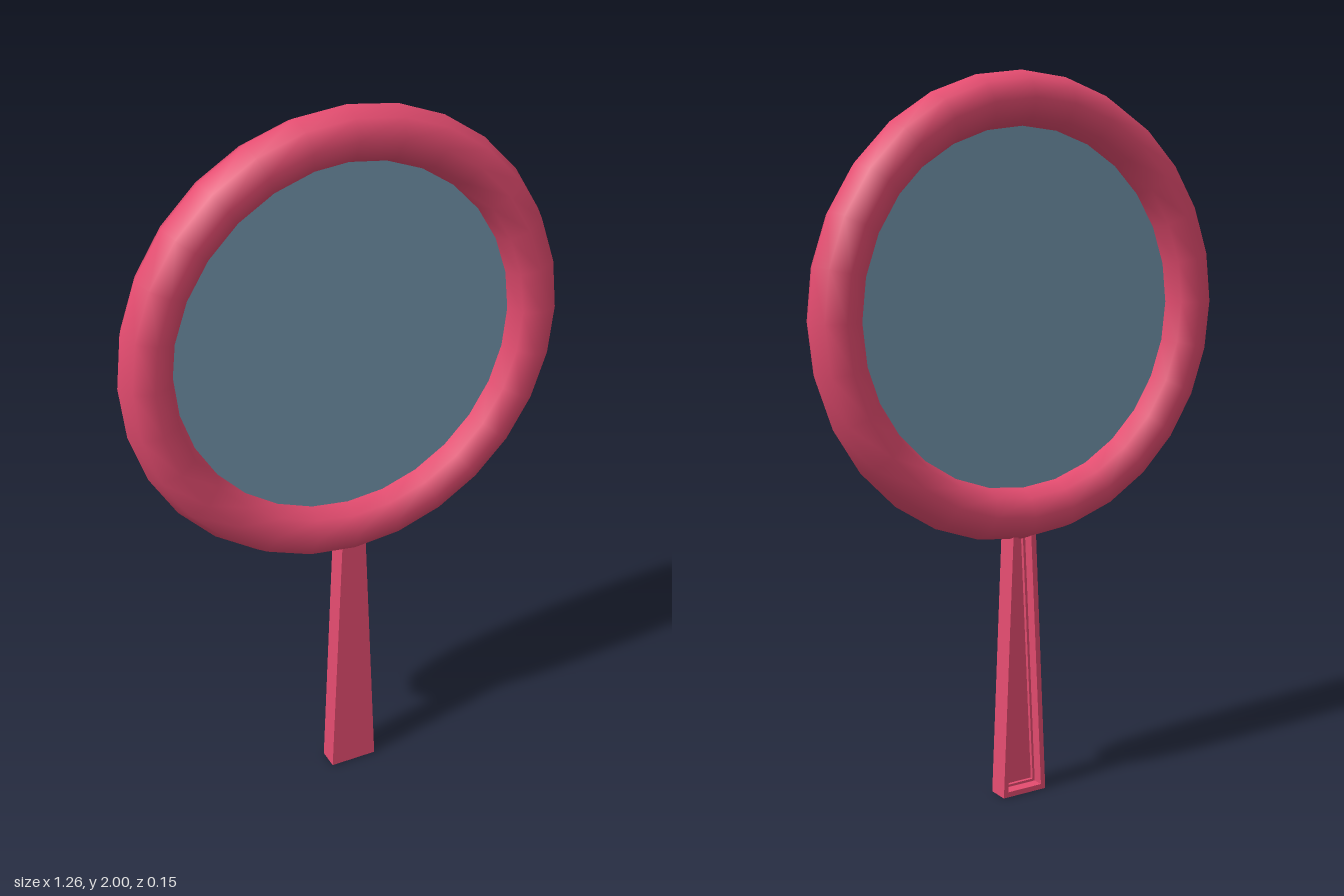
import * as THREE from 'three';

const pink = new THREE.MeshStandardMaterial({ color: 0xe54c70 });
pink.name = 'pink plastic';
const glassBlue = new THREE.MeshStandardMaterial({ color: 0x7396ad });
glassBlue.name = 'blue glass';

const RING_Y = 1.37, RING_R = 0.558, TUBE_R = 0.073;

// Tapered outline of the handle, inset evenly from its edges
function taper(Target, inset = 0) {
  const bottom = 0.07 - inset, top = 0.036 - inset;
  const path = new Target();
  path.moveTo(-bottom, inset);
  path.lineTo(bottom, inset);
  path.lineTo(top, 0.77 - inset);
  path.lineTo(-top, 0.77 - inset);
  path.closePath();
  return path;
}

// One layer of the handle between two depths, hollow if an inset is given
function handleLayer(name, z0, z1, holeInset) {
  const shape = taper(THREE.Shape);
  if (holeInset) shape.holes.push(taper(THREE.Path, holeInset));
  const geometry = new THREE.ExtrudeGeometry(shape, { depth: z1 - z0, bevelEnabled: false });
  geometry.translate(0, 0, z0);
  const mesh = new THREE.Mesh(geometry, pink);
  mesh.name = name;
  return mesh;
}

export function createModel() {
  const model = new THREE.Group();
  model.name = 'magnifyingGlass';

  // Round rim
  const rim = new THREE.Mesh(new THREE.TorusGeometry(RING_R, TUBE_R, 8, 28), pink);
  rim.name = 'rim';
  rim.position.y = RING_Y;
  model.add(rim);

  // Thin lens across the middle of the rim
  const lensGeometry = new THREE.CylinderGeometry(0.52, 0.52, 0.008, 28);
  lensGeometry.rotateX(Math.PI / 2);
  const lens = new THREE.Mesh(lensGeometry, glassBlue);
  lens.name = 'lens';
  lens.position.y = RING_Y;
  model.add(lens);

  // Tapered handle with a stepped hollow in its back
  const handle = new THREE.Group();
  handle.name = 'handle';
  handle.add(
    handleLayer('handleFront', 0.025, 0.045),
    handleLayer('handleStep', 0.015, 0.025, 0.022),
    handleLayer('handleBackEdge', -0.017, 0.015, 0.015),
  );
  model.add(handle);

  return model;
}
